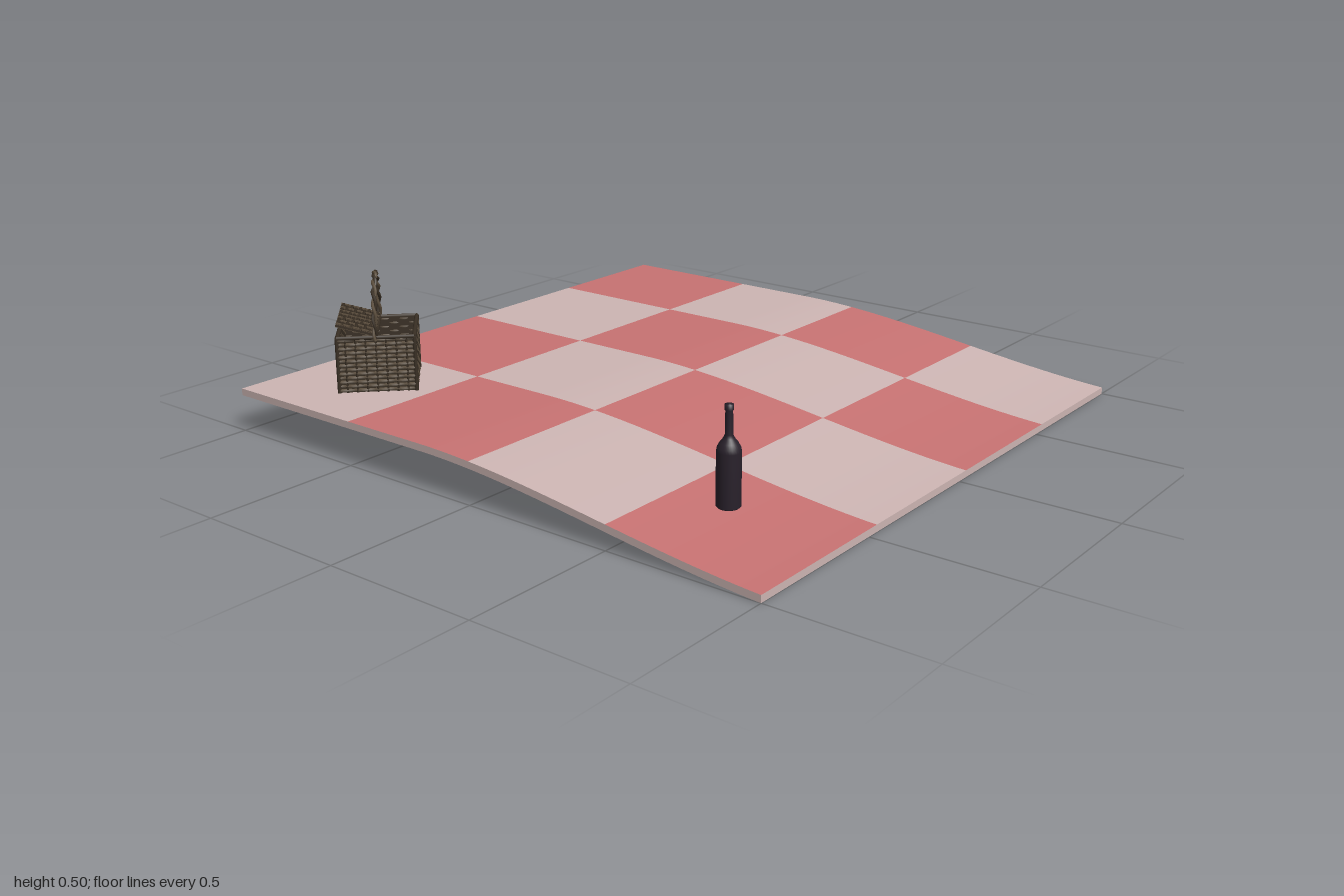
import * as THREE from 'three';

const mat = (name, color) => new THREE.MeshStandardMaterial({ name, color });

export function createModel() {
  const pale = mat('paleCloth', 0xcdb5b3);
  const red = mat('redCloth', 0xc77272);
  const wicker = mat('wicker', 0x5c4e3d);
  const darkWicker = mat('darkWicker', 0x3a3025);
  const lining = mat('basketLining', 0x86725f);
  const glass = mat('darkGlass', 0x29212b);

  const add = (parent, name, geometry, material, x = 0, y = 0, z = 0) => {
    const mesh = new THREE.Mesh(geometry, material);
    mesh.name = name;
    mesh.position.set(x, y, z);
    parent.add(mesh);
    return mesh;
  };
  const group = (parent, name, x = 0, y = 0, z = 0) => {
    const g = new THREE.Group();
    g.name = name;
    g.position.set(x, y, z);
    if (parent) parent.add(g);
    return g;
  };
  const tube = (points, segments, radius, sides = 5) =>
    new THREE.TubeGeometry(new THREE.CatmullRomCurve3(points), segments, radius, sides);

  const model = group(null, 'picnic');

  // Checked blanket, flat on the left and falling away to the right
  const T = 0.022;
  const topAt = (x) => 0.14 - 0.122 * THREE.MathUtils.smoothstep(x, -0.2, 1.15);
  const blanket = group(model, 'blanket');
  const xs = [-1, -0.5, 0, 0.5, 1];
  const zs = [-1, -0.54, -0.04, 0.46, 1];
  for (let i = 0; i < 4; i++) {
    for (let j = 0; j < 4; j++) {
      const cloth = (i + j) % 2 ? pale : red;
      const geo = new THREE.BoxGeometry(0.5, T, zs[j + 1] - zs[j], 14, 1, 1);
      geo.translate(xs[i] + 0.25, -T / 2, (zs[j] + zs[j + 1]) / 2);
      const p = geo.attributes.position;
      for (let k = 0; k < p.count; k++) p.setY(k, Math.max(0, p.getY(k) + topAt(p.getX(k))));
      geo.computeVertexNormals();
      add(blanket, 'blanketSquare', geo, [pale, pale, cloth, pale, pale, cloth]);
    }
  }

  // Basket, turned 45 degrees
  const basket = group(model, 'basket', -0.722, 0.14, 0.672);
  basket.rotation.y = -Math.PI / 4;
  const H = 0.125, HEIGHT = 0.176;

  // A strand running along x that weaves in and out along z
  const strand = (length, phase, radius) => {
    const pts = [];
    for (let k = 0; k <= 16; k++) {
      pts.push(new THREE.Vector3((k / 16 - 0.5) * length, 0, 0.0025 * Math.sin(k * Math.PI / 2 + phase)));
    }
    return tube(pts, 32, radius);
  };
  const strands = [strand(2 * H - 0.006, 0, 0.0062), strand(2 * H - 0.006, Math.PI, 0.0062)];
  const stake = new THREE.CylinderGeometry(0.004, 0.004, HEIGHT, 6);
  const corner = new THREE.CylinderGeometry(0.006, 0.006, HEIGHT, 8);
  const ROWS = 13;
  for (let s = 0; s < 4; s++) {
    const wall = group(basket, 'basketWall');
    wall.rotation.y = s * Math.PI / 2;
    add(wall, 'wallBacking', new THREE.BoxGeometry(2 * H - 0.012, HEIGHT, 0.006), darkWicker, 0, HEIGHT / 2, H - 0.011);
    for (let r = 0; r < ROWS; r++) {
      add(wall, 'wovenStrand', strands[r % 2], wicker, 0, (r + 0.5) * HEIGHT / ROWS, H - 0.008);
    }
    for (let k = -3; k <= 3; k++) add(wall, 'stake', stake, darkWicker, k * H / 4, HEIGHT / 2, H - 0.006);
    add(wall, 'cornerPost', corner, darkWicker, H - 0.006, HEIGHT / 2, H - 0.006);
    const rim = add(wall, 'rim', new THREE.CylinderGeometry(0.007, 0.007, 2 * H - 0.012, 8), darkWicker, 0, HEIGHT, H - 0.007);
    rim.rotation.z = Math.PI / 2;
  }
  add(basket, 'basketFloor', new THREE.BoxGeometry(2 * H - 0.02, 0.01, 2 * H - 0.02), lining, 0, 0.006, 0);

  // Cross bar carrying the lid hinge
  const bar = add(basket, 'crossBar', new THREE.CylinderGeometry(0.006, 0.006, 2 * H, 8), darkWicker, 0, HEIGHT, 0);
  bar.rotation.z = Math.PI / 2;

  // Half lid, propped slightly open
  const lid = group(basket, 'lid', 0, HEIGHT + 0.008, 0);
  lid.rotation.x = -0.29;
  add(lid, 'lidPanel', new THREE.BoxGeometry(2 * H - 0.006, 0.006, H), darkWicker, 0, 0, H / 2);
  for (let r = 0; r < 9; r++) {
    const weave = add(lid, 'lidStrand', strands[r % 2], darkWicker, 0, 0.002, (r + 0.5) * H / 9);
    weave.rotation.x = -Math.PI / 2;
  }
  for (let k = -3; k <= 3; k++) {
    add(lid, 'lidStake', new THREE.BoxGeometry(0.007, 0.014, H), wicker, k * H / 3.3, 0.001, H / 2);
  }

  // Arched handle of two twisted canes
  const handle = group(basket, 'handle');
  for (let c = 0; c < 2; c++) {
    const pts = [];
    for (let k = 0; k <= 48; k++) {
      const a = Math.PI * k / 48;
      const w = k * 0.8 + c * Math.PI;
      const d = 0.0045 * Math.cos(w);
      pts.push(new THREE.Vector3(
        Math.cos(a) * (H - 0.005 + d),
        HEIGHT - 0.01 + Math.sin(a) * (0.185 + d),
        0.0045 * Math.sin(w)));
    }
    add(handle, 'handleCane', tube(pts, 96, 0.0052, 6), c ? darkWicker : wicker);
  }

  // Bottle
  const profile = [
    [0, 0], [0.031, 0], [0.035, 0.004], [0.035, 0.16], [0.033, 0.172], [0.026, 0.185],
    [0.016, 0.198], [0.0115, 0.208], [0.0105, 0.275], [0.0125, 0.277], [0.0125, 0.293], [0, 0.295],
  ].map(([x, y]) => new THREE.Vector2(x, y));
  add(model, 'bottle', new THREE.LatheGeometry(profile, 28), glass, 0.67, 0.065, 0.686);

  return model;
}
